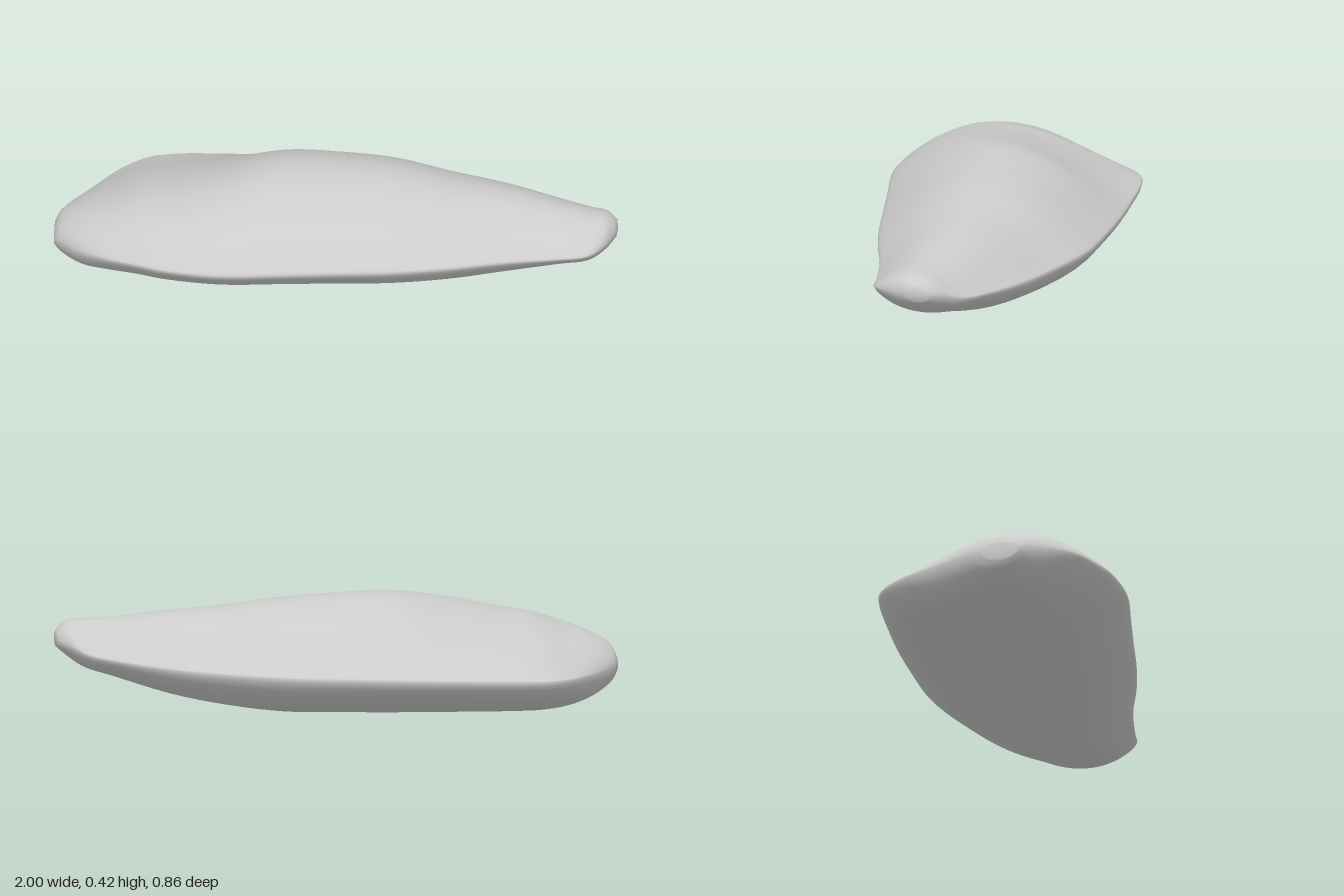
import * as THREE from 'three';

// Stations along the shell: x, back z, front z, top y, bottom y, back rim y, front rim y
const STATIONS = [
  [-1.0, -0.01, 0.12, 0.17, 0.11, 0.14, 0.15],
  [-0.98, -0.06, 0.15, 0.205, 0.08, 0.14, 0.16],
  [-0.9, -0.19, 0.24, 0.25, 0.035, 0.14, 0.18],
  [-0.8, -0.33, 0.31, 0.285, 0.012, 0.145, 0.2],
  [-0.7, -0.41, 0.355, 0.318, 0.005, 0.15, 0.21],
  [-0.6, -0.433, 0.395, 0.335, 0.003, 0.155, 0.215],
  [-0.4, -0.433, 0.428, 0.38, 0.003, 0.16, 0.22],
  [-0.2, -0.425, 0.413, 0.417, 0.005, 0.165, 0.22],
  [0.0, -0.405, 0.395, 0.415, 0.008, 0.17, 0.22],
  [0.2, -0.375, 0.378, 0.403, 0.012, 0.175, 0.22],
  [0.4, -0.3, 0.35, 0.377, 0.035, 0.18, 0.225],
  [0.6, -0.215, 0.31, 0.36, 0.075, 0.19, 0.23],
  [0.8, -0.11, 0.29, 0.335, 0.135, 0.21, 0.24],
  [0.9, -0.045, 0.28, 0.328, 0.165, 0.225, 0.25],
  [0.96, 0.02, 0.22, 0.32, 0.205, 0.25, 0.26],
  [0.995, 0.07, 0.15, 0.29, 0.235, 0.26, 0.265],
];
const AROUND = 48, STEPS = 4;
const { lerp, smoothstep } = THREE.MathUtils;

// Point on the lens-shaped cross-section of one station
function sectionPoint([x, zb, zf, top, bottom, rimB, rimF], angle) {
  const u = Math.cos(angle), s = Math.sin(angle);
  const toFront = (u + 1) / 2, mid = (rimB + rimF) / 2;
  // Slim upper side, fuller underside, rounder towards both tips
  const tip = smoothstep(Math.abs(x), x < 0 ? 0.75 : 0.86, 1);
  const power = lerp(s > 0 ? lerp(2.6, 2.2, toFront) : lerp(1.45, 1.75, toFront), 1.1, tip);
  // A little blunting at the rim
  const bulge = 0.9 * Math.abs(s) ** power + 0.1 * Math.abs(s) ** 0.6;
  const y = lerp(rimB, rimF, toFront) + bulge * (s > 0 ? top - mid : bottom - mid);
  // The upper crest leans forward at the broad end
  const lean = s > 0 ? 0.09 * s * s * (1 - smoothstep(x, -0.6, -0.1)) * (1 - tip) : 0;
  return new THREE.Vector3(x, y, (zb + zf) / 2 + u * (zf - zb) / 2 + lean);
}

function shellGeometry() {
  const rows = (STATIONS.length - 1) * STEPS;
  const positions = [], index = [];
  const lines = Array.from({ length: AROUND }, (_, j) => new THREE.CatmullRomCurve3(
    STATIONS.map((s) => sectionPoint(s, (j / AROUND) * Math.PI * 2))));
  for (let i = 0; i <= rows; i++) {
    for (const line of lines) positions.push(...line.getPoint(i / rows).toArray());
  }
  for (let i = 0; i < rows; i++) {
    for (let j = 0; j < AROUND; j++) {
      const a = i * AROUND + j, b = i * AROUND + (j + 1) % AROUND;
      index.push(a, a + AROUND, b, b, a + AROUND, b + AROUND);
    }
  }
  // Close both tips
  const left = positions.length / 3, right = left + 1, last = rows * AROUND;
  positions.push(-1, 0.14, 0.055, 1, 0.263, 0.11);
  for (let j = 0; j < AROUND; j++) {
    const k = (j + 1) % AROUND;
    index.push(left, j, k, right, last + k, last + j);
  }
  const geometry = new THREE.BufferGeometry();
  geometry.setAttribute('position', new THREE.Float32BufferAttribute(positions, 3));
  geometry.setIndex(index);
  geometry.computeVertexNormals();
  return geometry;
}

export function createModel() {
  const group = new THREE.Group();
  const shell = new THREE.Mesh(shellGeometry(), new THREE.MeshStandardMaterial({ color: 0xcccccc }));
  shell.name = 'shell';
  group.add(shell);
  return group;
}
